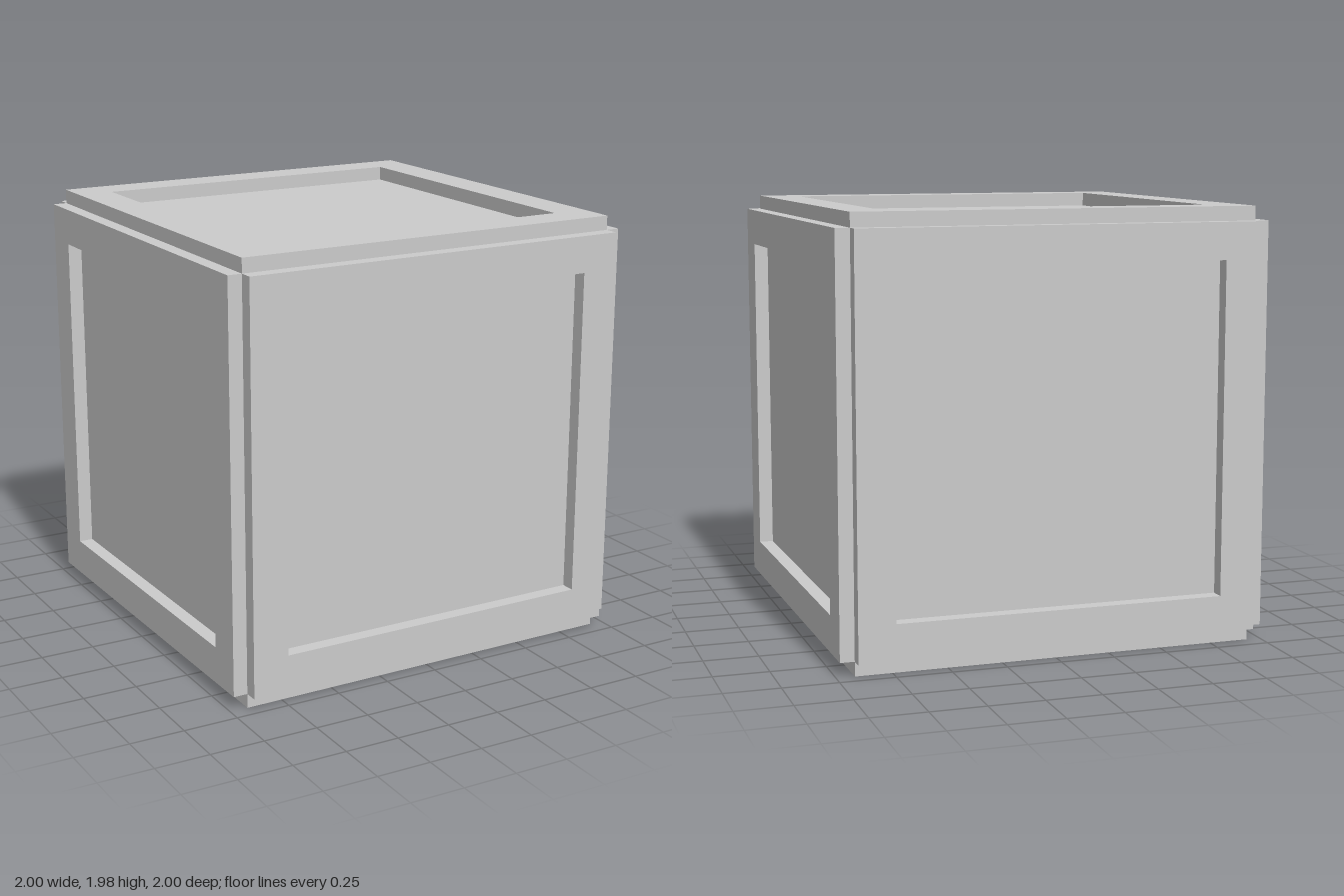
import * as THREE from 'three';

const CORE = 0.926;   // half size of the inner cube
const OUTER = 0.9915; // distance from the centre to the frame fronts
const OPENING = 0.758; // half size of the square recess

const material = new THREE.MeshStandardMaterial({ color: 0xcccccc, flatShading: true });

function square(path, h) {
  path.moveTo(-h, -h);
  path.lineTo(h, -h);
  path.lineTo(h, h);
  path.lineTo(-h, h);
  path.closePath();
  return path;
}

export function createModel() {
  const crate = new THREE.Group();
  crate.name = 'crate';

  // Solid cube whose faces form the recessed panels
  const core = new THREE.Mesh(new THREE.BoxGeometry(2 * CORE, 2 * CORE, 2 * CORE), material);
  core.name = 'core';
  crate.add(core);

  // Square frame raised from each face
  const outline = square(new THREE.Shape(), CORE);
  outline.holes.push(square(new THREE.Path(), OPENING));
  const frameGeometry = new THREE.ExtrudeGeometry(outline, { depth: OUTER - CORE, bevelEnabled: false });
  frameGeometry.translate(0, 0, CORE);

  const q = Math.PI / 2;
  const faces = [
    ['frontFrame', 0, 0], ['leftFrame', 0, q], ['backFrame', 0, 2 * q],
    ['rightFrame', 0, -q], ['topFrame', -q, 0], ['bottomFrame', q, 0],
  ];
  for (const [name, rx, ry] of faces) {
    const frame = new THREE.Mesh(frameGeometry, material);
    frame.name = name;
    frame.rotation.set(rx, ry, 0);
    crate.add(frame);
  }

  // Very slight turn about the vertical, standing on the ground
  crate.rotation.y = 0.0092;
  crate.position.y = OUTER;

  const model = new THREE.Group();
  model.name = 'framedCrate';
  model.add(crate);
  return model;
}
